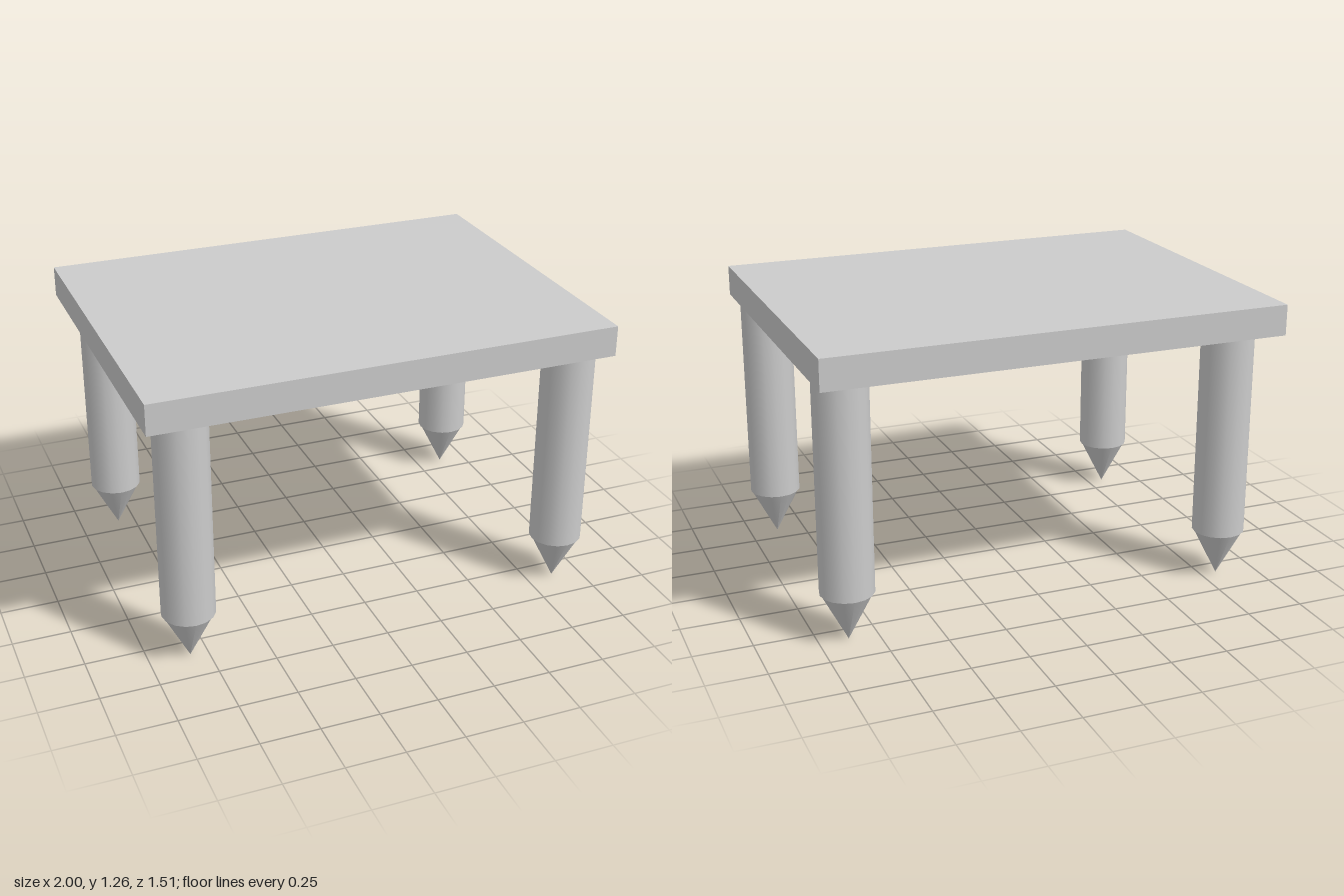
import * as THREE from 'three';

export function createModel() {
  const group = new THREE.Group();
  const mat = new THREE.MeshStandardMaterial({ color: 0xcccccc });
  const add = (name, geo, x, y, z, parent = group) => {
    const mesh = new THREE.Mesh(geo, mat);
    mesh.name = name;
    mesh.position.set(x, y, z);
    parent.add(mesh);
  };

  // Table top slab
  const bottom = 1.125, top = 1.257;
  add('tableTop', new THREE.BoxGeometry(2, top - bottom, 1.506), 0, (top + bottom) / 2, 0);

  // Four round legs, each ending in a pointed foot slightly narrower than the post
  const footTop = 0.213;
  const postGeo = new THREE.CylinderGeometry(0.114, 0.114, bottom - footTop, 16);
  const footGeo = new THREE.ConeGeometry(0.109, footTop, 16);
  footGeo.rotateX(Math.PI);
  for (const [side, x] of [['Right', -0.825], ['Left', 0.875]]) {
    for (const [end, z] of [['front', 0.592], ['back', -0.584]]) {
      const leg = new THREE.Group();
      leg.name = `${end}${side}Leg`;
      leg.position.set(x, 0, z);
      add('post', postGeo, 0, (bottom + footTop) / 2, 0, leg);
      add('pointedFoot', footGeo, 0, footTop / 2, 0, leg);
      group.add(leg);
    }
  }
  return group;
}
